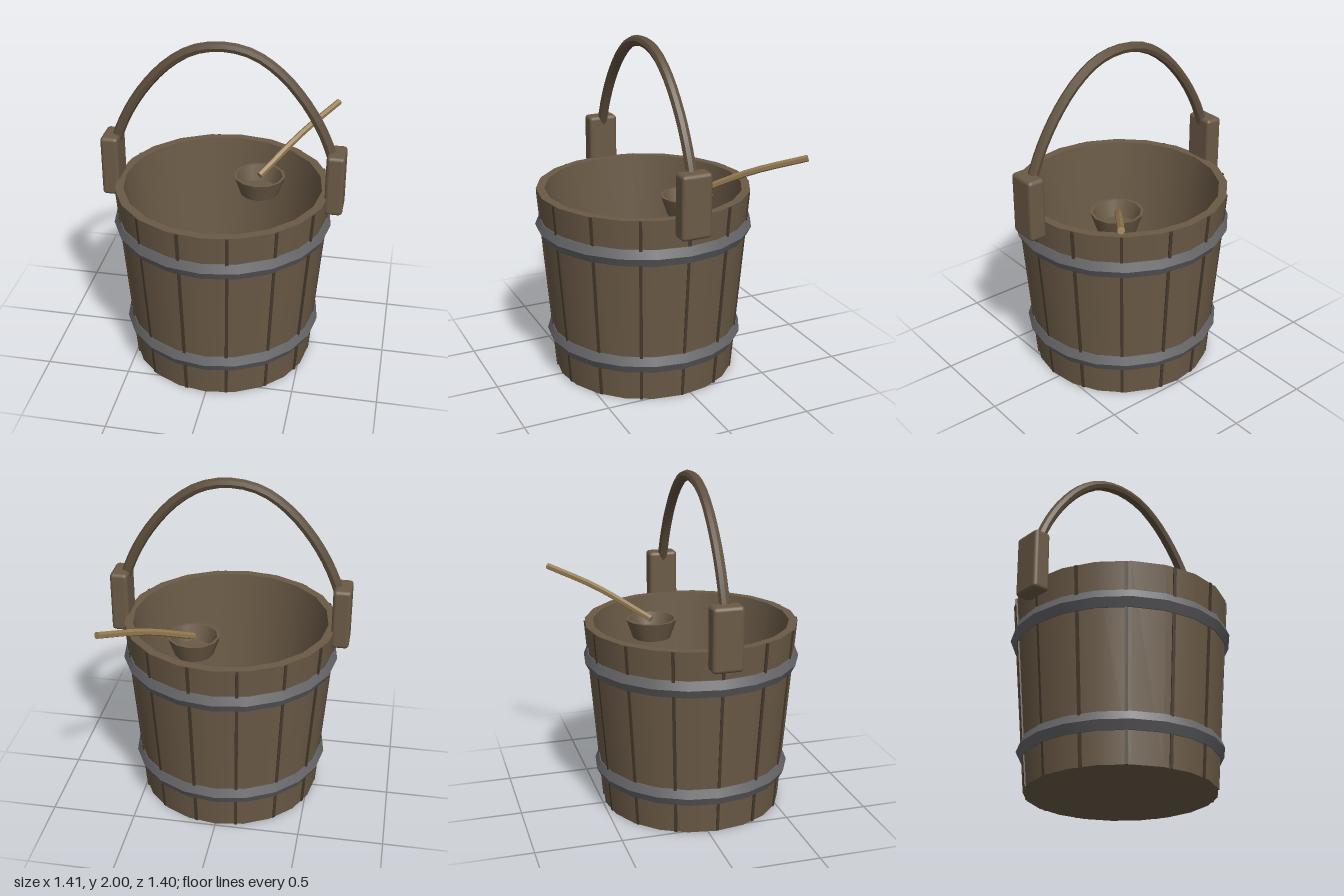
import * as THREE from 'three';
import { mergeGeometries, toCreasedNormals } from 'three/addons/utils/BufferGeometryUtils.js';
import { RoundedBoxGeometry } from 'three/addons/geometries/RoundedBoxGeometry.js';

const mat = (name, color) => {
  const m = new THREE.MeshStandardMaterial({ color });
  m.name = name;
  return m;
};

// Revolved profile that is smooth around the axis but sharp at each profile corner
function turned(profile, sides) {
  const rings = [];
  for (let i = 0; i < profile.length - 1; i++) {
    const pair = [profile[i], profile[i + 1]].map(([r, y]) => new THREE.Vector2(r, y));
    rings.push(new THREE.LatheGeometry(pair, sides));
  }
  return mergeGeometries(rings);
}

// Faceted rod along a smooth curve
function rod(points, radius, sides, steps) {
  const curve = new THREE.CatmullRomCurve3(points.map(p => new THREE.Vector3(...p)));
  return { curve, geometry: toCreasedNormals(new THREE.TubeGeometry(curve, steps, radius, sides), 0.5) };
}

export function createModel() {
  const wood = mat('wood', 0x6a5a46);
  const seamWood = mat('dark seam wood', 0x463a2c);
  const handleWood = mat('handle wood', 0x5f503d);
  const stickWood = mat('light stick wood', 0x92794f);
  const iron = mat('iron', 0x666669);

  const model = new THREE.Group();
  model.name = 'bucketWithLadle';
  const bucket = new THREE.Group();
  bucket.name = 'bucket';
  bucket.position.z = 0.055;
  const ladle = new THREE.Group();
  ladle.name = 'ladle';
  model.add(bucket, ladle);

  const add = (parent, name, geometry, material) => {
    const mesh = new THREE.Mesh(geometry, material);
    mesh.name = name;
    parent.add(mesh);
    return mesh;
  };

  // Hollow tapered tub
  const H = 1.125, R0 = 0.54, R1 = 0.63;
  const radiusAt = y => R0 + (R1 - R0) * y / H;
  add(bucket, 'tub', turned(
    [[0, 0], [R0, 0], [R1, H], [0.58, H], [0.465, 0.08], [0, 0.08]], 20), wood);

  // Raised seams between the staves
  const slope = Math.atan((R1 - R0) / H);
  for (let i = 0; i < 14; i++) {
    const pivot = new THREE.Group();
    pivot.name = 'staveSeam' + (i + 1);
    pivot.rotation.y = i / 14 * Math.PI * 2;
    bucket.add(pivot);
    const strip = add(pivot, 'seamStrip', new THREE.BoxGeometry(0.024, H, 0.018), seamWood);
    strip.position.set(radiusAt(H / 2) - 0.01, H / 2, 0);
    strip.rotation.z = -slope;
  }

  // Iron hoops with a ridged section
  for (const [name, y] of [['lowerHoop', 0.23], ['upperHoop', 0.905]]) {
    const r = radiusAt(y);
    add(bucket, name, turned(
      [[r - 0.02, y - 0.05], [r + 0.003, y - 0.05], [r + 0.029, y],
        [r + 0.009, y + 0.05], [r - 0.02, y + 0.05]], 20), iron);
  }

  // Handle blocks on both sides
  for (const [name, s] of [['leftHandleBlock', 1], ['rightHandleBlock', -1]]) {
    add(bucket, name, new RoundedBoxGeometry(0.105, 0.37, 0.18, 2, 0.022), wood)
      .position.set(s * 0.655, 1.205, 0);
  }

  // Arched handle, half its path mirrored
  const half = [[0.655, 1.27], [0.62, 1.38], [0.555, 1.53], [0.455, 1.69], [0.32, 1.84], [0.17, 1.938]];
  const path = [
    ...half.map(([x, y]) => [-x, y, 0]), [0, 1.97, 0],
    ...half.slice().reverse().map(([x, y]) => [x, y, 0])];
  add(bucket, 'handle', rod(path, 0.031, 8, 28).geometry, handleWood);

  // Ladle cup
  add(ladle, 'ladleCup', turned(
    [[0, 0], [0.115, 0], [0.155, 0.115], [0.138, 0.115], [0.106, 0.02], [0, 0.02]], 12), wood)
    .position.set(0.186, 0.975, -0.137);

  // Ladle stick with closed ends
  const stick = rod([[0.186, 1.085, -0.14], [0.4, 1.25, -0.425], [0.595, 1.355, -0.69]], 0.02, 6, 8);
  add(ladle, 'ladleStick', stick.geometry, stickWood);
  for (const t of [0, 1]) {
    const cap = add(ladle, 'stickEnd', new THREE.CircleGeometry(0.02, 12), stickWood);
    const out = stick.curve.getTangent(t).multiplyScalar(t ? 1 : -1);
    cap.position.copy(stick.curve.getPoint(t));
    cap.quaternion.setFromUnitVectors(new THREE.Vector3(0, 0, 1), out);
  }
  return model;
}
